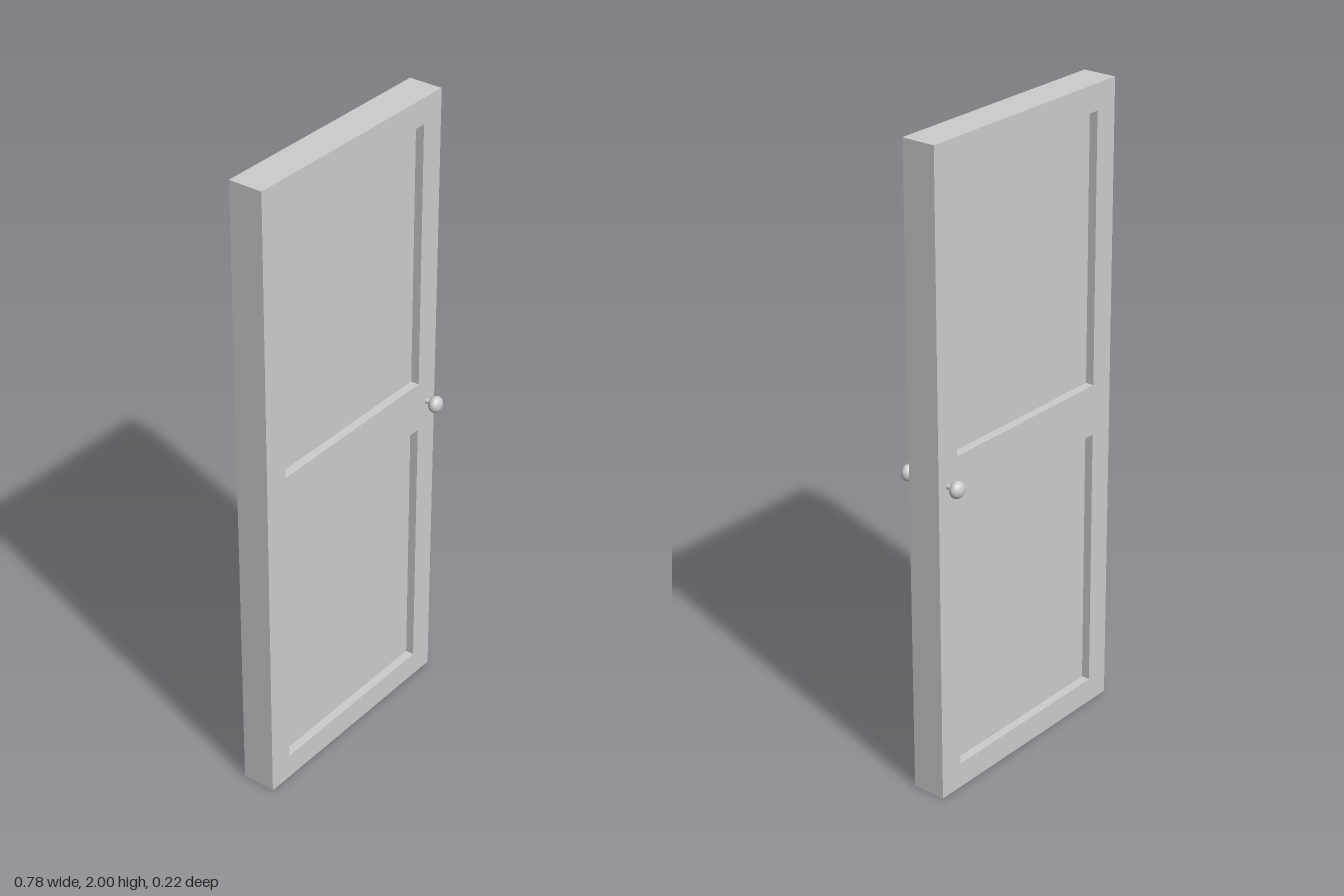
import * as THREE from 'three';

const WIDTH = 0.784, HEIGHT = 2, DEPTH = 0.108, BORDER = 0.08;

function rectangle(PathType, x0, y0, x1, y1) {
  const path = new PathType();
  path.moveTo(x0, y0);
  path.lineTo(x1, y0);
  path.lineTo(x1, y1);
  path.lineTo(x0, y1);
  path.closePath();
  return path;
}

export function createModel() {
  const model = new THREE.Group();
  model.name = 'door';
  const material = new THREE.MeshStandardMaterial({ color: 0xcccccc });

  const add = (name, geometry, parent = model) => {
    const mesh = new THREE.Mesh(geometry, material);
    mesh.name = name;
    parent.add(mesh);
    return mesh;
  };

  // Frame of stiles and rails, with two openings
  const halfW = WIDTH / 2, openW = halfW - BORDER;
  const openings = [[BORDER, HEIGHT / 2 - BORDER], [HEIGHT / 2 + BORDER, HEIGHT - BORDER]];
  const outline = rectangle(THREE.Shape, -halfW, 0, halfW, HEIGHT);
  for (const [y0, y1] of openings) {
    outline.holes.push(rectangle(THREE.Path, -openW, y0, openW, y1));
  }
  const frame = new THREE.ExtrudeGeometry(outline, { depth: DEPTH, bevelEnabled: false });
  add('frame', frame.translate(0, 0, -DEPTH / 2));

  // Panels set back from both faces
  openings.forEach(([y0, y1], i) => {
    const panel = add(i ? 'upperPanel' : 'lowerPanel',
      new THREE.BoxGeometry(openW * 2, y1 - y0, DEPTH / 2));
    panel.position.y = (y0 + y1) / 2;
  });

  // A flattened round knob on a short stem, on each side
  for (const side of [1, -1]) {
    const handle = new THREE.Group();
    handle.name = side > 0 ? 'frontHandle' : 'backHandle';
    handle.position.set(0.353, 1.003, side * DEPTH / 2);
    if (side < 0) handle.rotation.y = Math.PI;
    model.add(handle);

    const stem = add('stem', new THREE.CylinderGeometry(0.008, 0.008, 0.03, 24, 1), handle);
    stem.rotation.x = Math.PI / 2;
    stem.position.z = 0.01;

    const knob = add('knob', new THREE.SphereGeometry(0.026, 32, 20), handle);
    knob.scale.z = 0.77;
    knob.position.z = 0.034;
  }

  return model;
}
